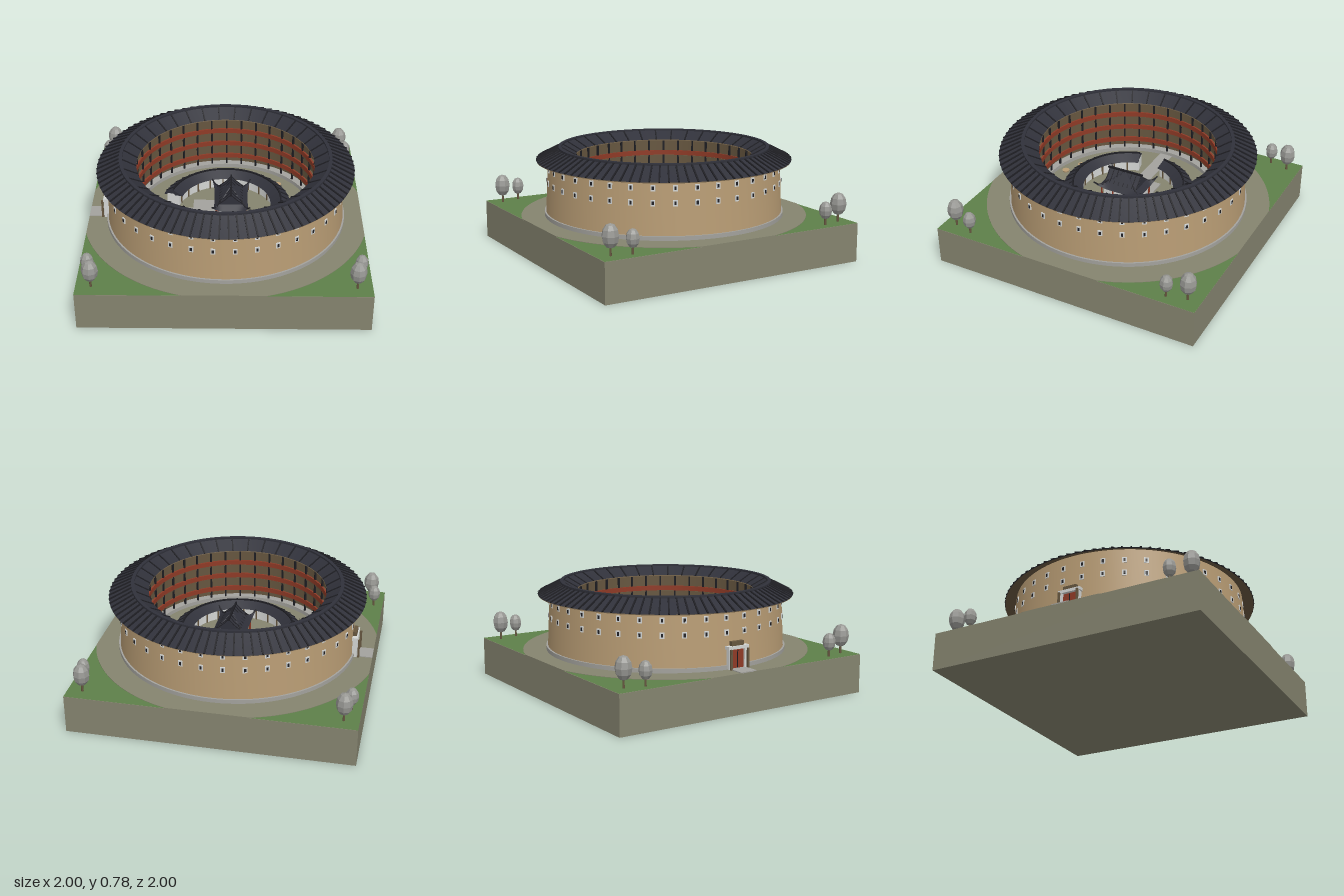
import * as THREE from 'three';
import { mergeGeometries, toCreasedNormals } from 'three/addons/utils/BufferGeometryUtils.js';

const paint = (name, color, side = THREE.FrontSide) => new THREE.MeshStandardMaterial({ name, color, side });

export function createModel() {
  const D = THREE.DoubleSide;
  const earth = paint('earth', 0x85846f);
  const grass = paint('grass', 0x5d8049);
  const clay = paint('clay', 0xb89c74, D);
  const tile = paint('roof tile', 0x30313a, D);
  const rib = paint('dark rib', 0x1e1e23);
  const red = paint('red wood', 0x8f3a26, D);
  const stone = paint('paving stone', 0xa3a29d, D);
  const plaster = paint('white plaster', 0xd4d6d4, D);
  const wood = paint('brown wood', 0x66563f, D);
  const leaf = paint('grey foliage', 0x979793);

  const model = new THREE.Group();
  model.name = 'roundHouse';
  const add = (name, geo, mat, parent = model) => {
    const mesh = new THREE.Mesh(geo, mat);
    mesh.name = name;
    parent.add(mesh);
    return mesh;
  };
  const box = (w, h, d, x, y, z) => new THREE.BoxGeometry(w, h, d).translate(x, y, z);

  // Ring swept from an (r, y) profile
  const ring = (name, pts, mat, start = 0, len = Math.PI * 2, seg = 96) => {
    const geo = new THREE.LatheGeometry(pts.map(p => new THREE.Vector2(...p)), seg, start, len);
    return add(name, toCreasedNormals(geo, 0.35), mat);
  };
  const rect = (r1, r2, y1, y2) => [[r1, y1], [r2, y1], [r2, y2], [r1, y2], [r1, y1]];

  // Copies of a geometry turned round the y axis, merged into one mesh
  const around = (name, geo, mat, angles) =>
    add(name, mergeGeometries(angles.map(a => geo.clone().rotateY(a))), mat);
  const turn = (n, offset = 0) => Array.from({ length: n }, (_, i) => ((i + offset) / n) * Math.PI * 2);

  // Thin bar along a roof slope from (r1, y1) to (r2, y2)
  const slopeBar = (r1, y1, r2, y2, w, h) => new THREE.BoxGeometry(Math.hypot(r2 - r1, y2 - y1), h, w)
    .rotateZ(Math.atan2(y2 - y1, r2 - r1)).translate((r1 + r2) / 2, (y1 + y2) / 2, 0);

  // Ground block, lawn and the round yard trimmed to the block
  add('groundBlock', box(2, 0.278, 2, 0, 0.139, 0), earth);
  add('lawn', new THREE.PlaneGeometry(2, 2).rotateX(-Math.PI / 2).translate(0, 0.28, 0), grass);
  const yardPts = turn(180).map(a => {
    const r = Math.min(1.04, 1 / Math.max(Math.abs(Math.cos(a)), Math.abs(Math.sin(a))));
    return new THREE.Vector2(r * Math.cos(a), r * Math.sin(a));
  });
  add('yard', new THREE.ExtrudeGeometry(new THREE.Shape(yardPts), { depth: 0.006, bevelEnabled: false })
    .rotateX(-Math.PI / 2).translate(0, 0.277, 0), earth);

  // Paving
  add('outerPath', box(0.17, 0.008, 0.13, -0.915, 0.284, 0), stone);
  add('innerPath', box(0.45, 0.008, 0.1, -0.435, 0.284, 0), stone);
  add('terrace', box(0.4, 0.014, 0.3, -0.04, 0.286, 0), stone);

  // Outer ring house
  ring('plinth', rect(0.645, 0.872, 0.281, 0.312), stone);
  ring('outerWall', [[0.86, 0.31], [0.84, 0.725]], clay);
  ring('galleryWall', [[0.7, 0.31], [0.7, 0.73]], wood);
  for (const y of [0.385, 0.495, 0.605]) {
    ring('galleryFloor', rect(0.655, 0.7, y - 0.03, y - 0.02), wood);
    ring('galleryRail', rect(0.652, 0.664, y - 0.018, y + 0.018), red);
  }
  around('galleryPosts', box(0.012, 0.41, 0.012, 0.66, 0.51, 0), rib, turn(36));

  // Outer ring roof
  ring('mainRoof', [[0.925, 0.685], [0.83, 0.73], [0.75, 0.772], [0.64, 0.71]], tile);
  ring('mainEaveLining', [[0.64, 0.704], [0.75, 0.763], [0.83, 0.722], [0.922, 0.679]], wood);
  ring('mainRidge', rect(0.74, 0.764, 0.76, 0.779), tile);
  around('outerRibs', slopeBar(0.926, 0.688, 0.764, 0.768, 0.011, 0.008), rib, turn(90));
  around('innerRibs', slopeBar(0.64, 0.712, 0.742, 0.769, 0.01, 0.008), rib, turn(36, 0.5));

  // Two rows of windows
  const wallR = y => 0.86 - (y - 0.31) * 0.048;
  for (const y of [0.632, 0.532]) {
    around('windowFrames', box(0.008, 0.042, 0.032, wallR(y) + 0.001, y, 0), plaster, turn(36, 0.5));
    around('windowPanes', box(0.004, 0.024, 0.015, wallR(y) + 0.005, y, 0), rib, turn(36, 0.5));
  }

  // Gate on the -x side
  const gate = new THREE.Group();
  gate.name = 'gate';
  model.add(gate);
  add('gateDoor', box(0.03, 0.13, 0.1, -0.86, 0.35, 0), red, gate);
  add('gateLintel', box(0.05, 0.022, 0.17, -0.865, 0.43, 0), plaster, gate);
  add('gateSign', box(0.03, 0.03, 0.1, -0.865, 0.456, 0), wood, gate);
  for (const s of [-1, 1]) {
    add('gatePillar', box(0.045, 0.14, 0.025, -0.865, 0.352, s * 0.064), plaster, gate);
    add('gatePost', box(0.014, 0.14, 0.014, -0.9, 0.352, s * 0.07), wood, gate);
  }
  add('gateDoorSeam', box(0.004, 0.12, 0.006, -0.876, 0.35, 0), rib, gate);

  // Inner ring house, open toward the gate
  const gap = 0.25, start = Math.PI * 1.5 + gap, len = Math.PI * 2 - gap * 2;
  const innerWall = rect(0.355, 0.45, 0.281, 0.378);
  const innerRoof = [[0.475, 0.366], [0.405, 0.41], [0.33, 0.366], [0.475, 0.366]];
  for (const [name, pts, mat] of [['innerHouse', innerWall, plaster], ['innerRoof', innerRoof, tile]]) {
    ring(name, pts, mat, start, len, 64);
    for (const phi of [start, start + len]) {
      const end = new THREE.ShapeGeometry(new THREE.Shape(pts.map(p => new THREE.Vector2(...p))));
      add(name + 'End', end.rotateY(phi - Math.PI / 2), mat);
    }
  }
  ring('innerRidge', rect(0.399, 0.411, 0.4, 0.416), rib, start, len, 64);
  const open = turn(44, 0.5).filter(a => Math.abs(a - Math.PI) > gap);
  around('innerRoofRibs', slopeBar(0.475, 0.368, 0.41, 0.409, 0.007, 0.006), rib, open);
  around('innerHousePosts', box(0.008, 0.09, 0.01, 0.352, 0.327, 0), wood, open.filter((_, i) => i % 2));

  // Central hall
  const hall = new THREE.Group();
  hall.name = 'hall';
  hall.position.x = 0.04;
  model.add(hall);
  add('hallWalls', box(0.18, 0.13, 0.26, 0, 0.35, 0), plaster, hall);
  add('hallDoor', box(0.006, 0.09, 0.08, -0.091, 0.337, 0), red, hall);
  for (const x of [-0.105, 0.105]) for (const z of [-0.14, -0.05, 0.05, 0.14])
    add('hallPost', new THREE.CylinderGeometry(0.006, 0.006, 0.12, 8).translate(x, 0.345, z), red, hall);

  // Skirt roof with upswept corners
  const skirt = new THREE.PlaneGeometry(2, 2, 16, 16).rotateX(-Math.PI / 2);
  const p = skirt.attributes.position;
  for (let i = 0; i < p.count; i++) {
    const u = p.getX(i), v = p.getZ(i);
    const s = Math.max(Math.abs(u), Math.abs(v)), c = Math.abs(u * v) ** 5;
    p.setXYZ(i, u * 0.122 * (1 + 0.14 * c), 0.4 + 0.12 * (1 - s) + 0.04 * c, v * 0.168 * (1 + 0.12 * c));
  }
  skirt.computeVertexNormals();
  add('hallSkirtRoof', toCreasedNormals(skirt, 0.4), tile, hall);

  // Upper gable with ridge and ribs
  const gable = new THREE.Shape([[-0.085, 0.435], [0.085, 0.435], [0.035, 0.475], [0, 0.515], [-0.035, 0.475]]
    .map(q => new THREE.Vector2(...q)));
  add('hallGable', new THREE.ExtrudeGeometry(gable, { depth: 0.26, bevelEnabled: false }).translate(0, 0, -0.13), tile, hall);
  add('hallRidge', box(0.012, 0.014, 0.28, 0, 0.518, 0), rib, hall);
  for (const s of [-1, 1]) {
    for (let i = 0; i < 8; i++) {
      const z = -0.126 + i * 0.036;
      add('hallRib', slopeBar(s * 0.085, 0.437, s * 0.035, 0.477, 0.005, 0.005).translate(0, 0, z), rib, hall);
      add('hallRib', slopeBar(s * 0.035, 0.477, 0, 0.516, 0.005, 0.005).translate(0, 0, z), rib, hall);
    }
    for (const t of [-1, 1]) {
      const path = new THREE.CatmullRomCurve3([[0.07, 0.456, 0.097], [0.108, 0.42, 0.15], [0.142, 0.45, 0.192]]
        .map(([x, y, z]) => new THREE.Vector3(x * s, y, z * t)));
      add('hallHip', new THREE.TubeGeometry(path, 8, 0.005, 6), rib, hall);
    }
  }

  // Drying trays and the well
  for (const [x, z] of [[-0.3, -0.44], [-0.195, -0.53], [0.395, -0.38], [0.365, 0.435], [-0.205, 0.515], [-0.08, 0.58]])
    add('dryingTray', new THREE.CylinderGeometry(0.027, 0.024, 0.012, 16).translate(x, 0.289, z), clay);
  add('well', new THREE.CylinderGeometry(0.026, 0.028, 0.03, 8).translate(-0.425, 0.297, 0.38), earth);

  // Corner trees
  for (const sx of [-1, 1]) for (const sz of [-1, 1])
    for (const [x, z, r, h, y] of [[0.895, 0.905, 0.058, 0.082, 0.41], [0.93, 0.765, 0.046, 0.064, 0.385]]) {
      const tree = new THREE.Group();
      tree.name = 'tree';
      tree.position.set(x * sx, 0, z * sz);
      model.add(tree);
      add('trunk', new THREE.CylinderGeometry(0.006, 0.009, y - 0.28, 6).translate(0, (y + 0.28) / 2, 0), wood, tree);
      const crown = toCreasedNormals(new THREE.SphereGeometry(1, 8, 6).scale(r, h, r), 0.01);
      add('crown', crown.translate(0, y, 0), leaf, tree);
    }
  return model;
}
